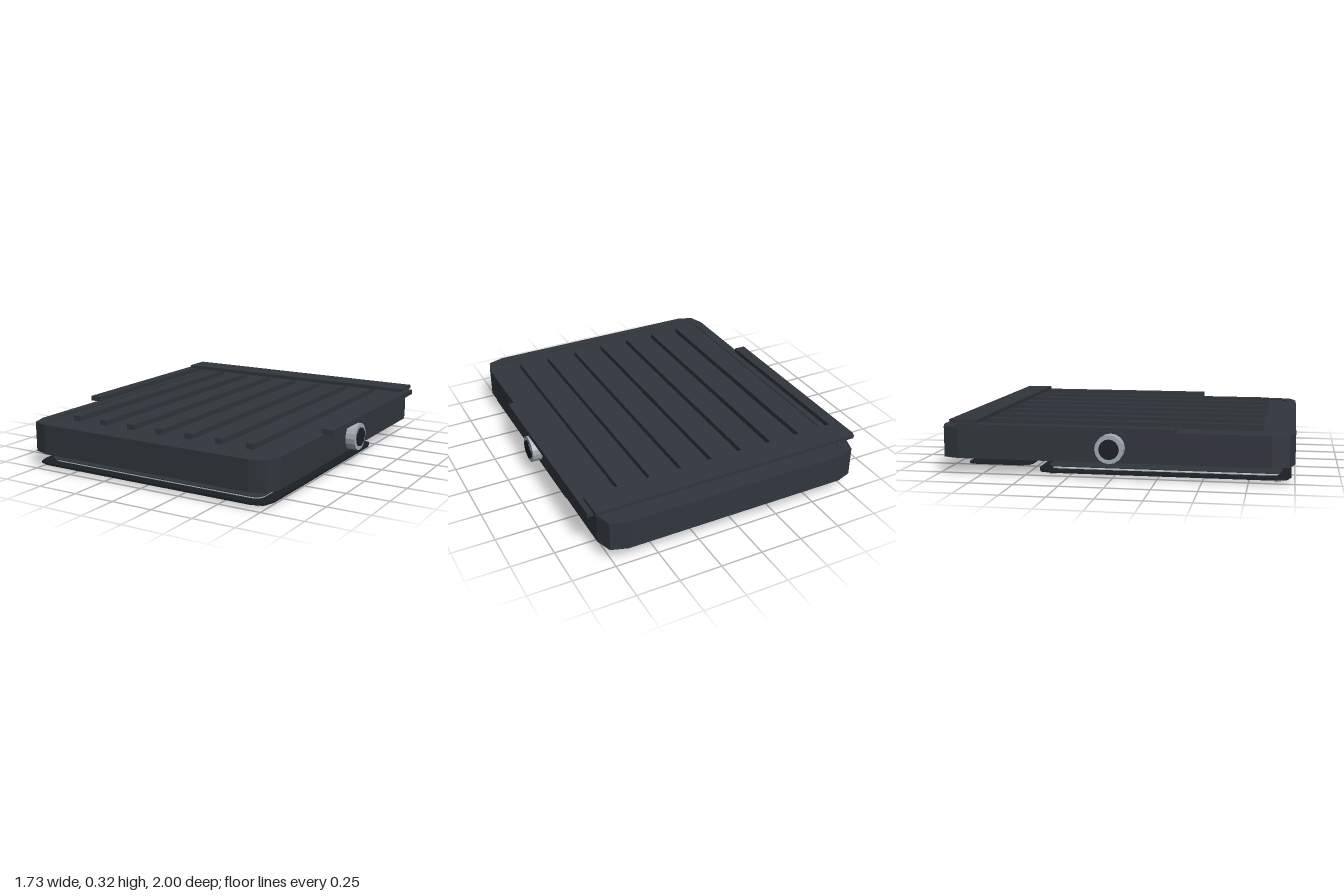
import * as THREE from 'three';

const mat = (color) => new THREE.MeshStandardMaterial({ color, flatShading: true });
const dark = mat(0x30363d), black = mat(0x1b2025), metal = mat(0xa3adb6);
const glass = mat(0xb4bdc3), amber = mat(0xc9a04a), grey = mat(0x727a82);

// Rounded rectangle outline; flips z because the extrusion is laid flat
function outline(Path, halfX, z0, z1, r) {
  const p = new Path(), a = -z1, b = -z0, x = halfX;
  p.moveTo(-x + r, a);
  p.lineTo(x - r, a);
  p.quadraticCurveTo(x, a, x, a + r);
  p.lineTo(x, b - r);
  p.quadraticCurveTo(x, b, x - r, b);
  p.lineTo(-x + r, b);
  p.quadraticCurveTo(-x, b, -x, b - r);
  p.lineTo(-x, a + r);
  p.quadraticCurveTo(-x, a, -x + r, a);
  return p;
}

export function createModel() {
  const model = new THREE.Group();

  const add = (name, geometry, material, x = 0, y = 0, z = 0) => {
    const mesh = new THREE.Mesh(geometry, material);
    mesh.name = name;
    mesh.position.set(x, y, z);
    model.add(mesh);
    return mesh;
  };

  // Flat rounded plate, optionally with an opening set in from its edge
  const plate = (name, material, halfX, z0, z1, y0, y1, r, rim = 0) => {
    const shape = outline(THREE.Shape, halfX, z0, z1, r);
    if (rim) shape.holes.push(outline(THREE.Path, halfX - rim, z0 + rim, z1 - rim, r * 0.8));
    const g = new THREE.ExtrudeGeometry(shape, { depth: y1 - y0, bevelEnabled: false, curveSegments: 2 });
    g.rotateX(-Math.PI / 2);
    return add(name, g, material, 0, y0, 0);
  };

  const box = (name, material, x0, x1, y0, y1, z0, z1) =>
    add(name, new THREE.BoxGeometry(x1 - x0, y1 - y0, z1 - z0), material,
      (x0 + x1) / 2, (y0 + y1) / 2, (z0 + z1) / 2);

  // Hollow housing with a slightly sunken top
  plate('housingWall', dark, 0.8, -1, 1, 0.095, 0.27, 0.125, 0.06);
  plate('housingTop', dark, 0.745, -0.945, 0.945, 0.24, 0.265, 0.1);

  // Cooling fins
  for (let i = -3; i <= 3; i++) {
    const x = i * 0.195;
    box('coolingFin', dark, x - 0.023, x + 0.023, 0.262, 0.297, -0.8, 0.82);
  }

  // Rear crossbar
  box('rearCrossbar', dark, -0.82, 0.82, 0.297, 0.319, -0.915, -0.755);

  for (const s of [-1, 1]) {
    // Side rails
    add('sideRail', new THREE.BoxGeometry(0.07, 0.03, 1.23), dark, s * 0.815, 0.283, -0.255);
    // Round side pivots with a dark cap
    const ring = add('pivotRing', new THREE.CylinderGeometry(0.08, 0.08, 0.07, 16), metal, s * 0.823, 0.18, 0);
    const cap = add('pivotCap', new THREE.CylinderGeometry(0.056, 0.056, 0.07, 16), black, s * 0.83, 0.18, 0);
    ring.rotation.z = cap.rotation.z = Math.PI / 2;
  }

  // Stacked light panel below the housing
  plate('reflectorSheet', glass, 0.68, -0.35, 0.9, 0.078, 0.081, 0.05);
  plate('lightBoard', dark, 0.71, -0.38, 0.93, 0.046, 0.051, 0.05);
  plate('lens', glass, 0.7, -0.365, 0.915, 0.034, 0.039, 0.05);
  plate('lensFrame', black, 0.77, -0.435, 0.98, 0.022, 0.034, 0.09, 0.07);
  for (const x of [-0.5, -0.25, 0, 0.25, 0.5])
    for (const z of [-0.1, 0.275, 0.65])
      box('lightChip', amber, x - 0.02, x + 0.02, 0.05, 0.06, z - 0.02, z + 0.02);

  // Frame screws
  for (const x of [-0.687, 0.687])
    for (const z of [-0.355, 0.908])
      add('frameScrew', new THREE.CylinderGeometry(0.018, 0.018, 0.014, 12), metal, x, 0.007, z);

  // Rear access cover and the inner block behind it
  plate('coverGasket', black, 0.71, -0.86, -0.48, 0.046, 0.052, 0.06);
  plate('accessCover', dark, 0.65, -0.84, -0.5, 0.034, 0.042, 0.06);
  box('innerBlock', grey, -0.72, -0.57, 0.17, 0.24, -0.88, -0.3);

  return model;
}
